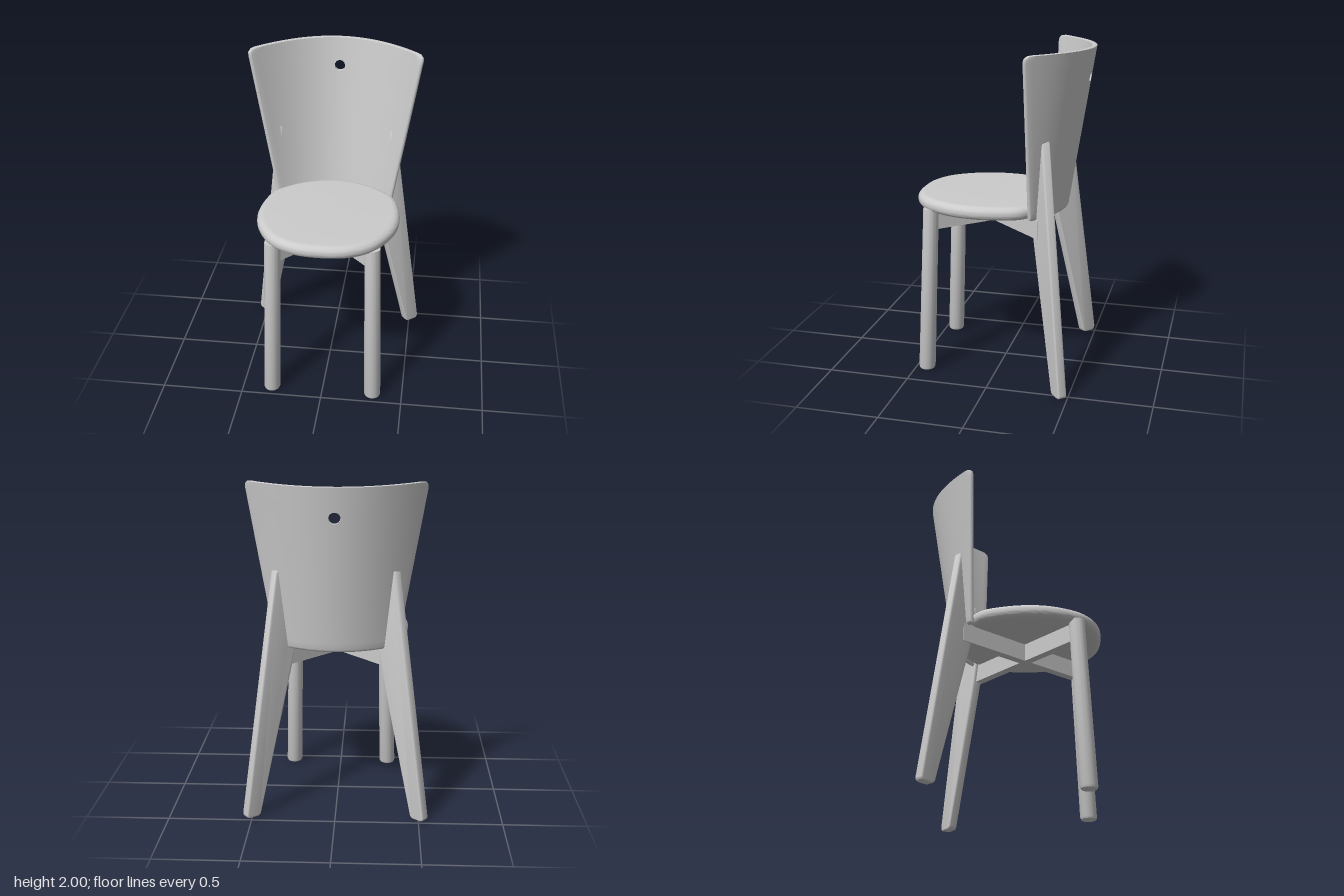
import * as THREE from 'three';
import { toCreasedNormals } from 'three/addons/utils/BufferGeometryUtils.js';

const material = new THREE.MeshStandardMaterial({ color: 0xcccccc });
const lerp = THREE.MathUtils.lerp;

function part(name, geometry, crease = 0.6) {
  const mesh = new THREE.Mesh(toCreasedNormals(geometry, crease), material);
  mesh.name = name;
  return mesh;
}

// Cushioned seat slab: half outline (x, z) mirrored into a closed spline
function seat() {
  const half = [[0, 0.535], [0.16, 0.515], [0.29, 0.44], [0.365, 0.34], [0.415, 0.22], [0.432, 0.09],
    [0.418, -0.05], [0.385, -0.16], [0.335, -0.22], [0.2, -0.315], [0, -0.365]];
  const mirrored = half.slice(1, -1).reverse().map(([x, z]) => [-x, z]);
  const points = [...half, ...mirrored].map(([x, z]) => new THREE.Vector3(x, -z, 0));
  const outline = new THREE.CatmullRomCurve3(points, true).getPoints(120).slice(0, -1);
  const shape = new THREE.Shape(outline.map((p) => new THREE.Vector2(p.x, p.y)));
  const geometry = new THREE.ExtrudeGeometry(shape, {
    depth: 0.01, bevelThickness: 0.036, bevelSize: 0.045, bevelOffset: -0.045, bevelSegments: 7,
  });
  geometry.rotateX(-Math.PI / 2).translate(0, 1.056, 0);
  return part('seat', geometry);
}

// Point on the flared, curved back panel, offset d from its middle surface
function panelPoint(x, y, d) {
  const t = (y - 1.02) / 0.98;
  const w = lerp(0.36, 0.525, t);
  const zBack = lerp(-0.37, -0.525, t);
  const bend = (-0.222 - zBack) / (w * w);
  const normal = new THREE.Vector2(-2 * bend * x, 1).normalize();
  return [x + normal.x * d, y, zBack + bend * x * x + normal.y * d];
}

// Back panel: rings run from the hole to the outline, round the rim and back
function backrest() {
  const shape = new THREE.Shape();
  shape.moveTo(-0.36, 1.02).lineTo(0.36, 1.02).lineTo(0.519, 1.96);
  shape.quadraticCurveTo(0.525, 2, 0.49, 2).lineTo(-0.49, 2);
  shape.quadraticCurveTo(-0.525, 2, -0.519, 1.96).lineTo(-0.36, 1.02);
  const outline = shape.getSpacedPoints(180).slice(0, -1);

  const thick = 0.014, rim = 0.02, rings = 20, steps = 6;
  const section = [];
  for (let i = 0; i < rings; i++) section.push([(i / rings) * (1 - rim), thick]);
  for (let i = 0; i <= steps; i++) {
    const a = (i / steps) * Math.PI;
    section.push([1 - rim + rim * Math.sin(a), thick * Math.cos(a)]);
  }
  for (let i = rings - 1; i >= 0; i--) section.push([(i / rings) * (1 - rim), -thick]);

  const holeY = 1.825, holeR = 0.033;
  const positions = [], index = [];
  const n = outline.length, m = section.length;
  outline.forEach((p, i) => {
    const a = Math.atan2(p.y - holeY, p.x);
    section.forEach(([k, d], j) => {
      const x = lerp(holeR * Math.cos(a), p.x, k);
      const y = lerp(holeY + holeR * Math.sin(a), p.y, k);
      positions.push(...panelPoint(x, y, d));
      const i2 = (i + 1) % n, j2 = (j + 1) % m;
      const A = i * m + j, B = i * m + j2, C = i2 * m + j2, D = i2 * m + j;
      index.push(A, B, C, A, C, D);
    });
  });
  const geometry = new THREE.BufferGeometry();
  geometry.setAttribute('position', new THREE.Float32BufferAttribute(positions, 3));
  geometry.setIndex(index);
  return part('backrest', geometry);
}

// Round front leg with a softened foot, leaning outward and forward
function frontLeg(side) {
  const profile = [[0, 0], [0.037, 0], [0.046, 0.005], [0.051, 0.018], [0.047, 1.04], [0, 1.04]]
    .map(([r, y]) => new THREE.Vector2(r, y));
  const geometry = new THREE.LatheGeometry(profile, 32);
  const pos = geometry.attributes.position;
  for (let i = 0; i < pos.count; i++) {
    const k = pos.getY(i) / 1.04;
    pos.setX(i, pos.getX(i) + side * lerp(0.317, 0.295, k));
    pos.setZ(i, pos.getZ(i) + lerp(0.43, 0.39, k));
  }
  return part('frontLeg', geometry);
}

// Tapered plank back leg: s runs inward along a diagonal from the foot
function backLeg(side) {
  const shape = new THREE.Shape();
  shape.moveTo(0.03, 0).lineTo(0.075, 0).quadraticCurveTo(0.1, 0, 0.105, 0.03);
  shape.lineTo(0.345, 0.91).lineTo(0.365, 1.03).lineTo(0.315, 1.08).lineTo(0.275, 1.48);
  shape.quadraticCurveTo(0.255, 1.515, 0.24, 1.48);
  shape.lineTo(0.003, 0.03).quadraticCurveTo(0, 0, 0.03, 0);
  const geometry = new THREE.ExtrudeGeometry(shape, {
    depth: 0.039, bevelThickness: 0.008, bevelSize: 0.008, bevelOffset: -0.008, bevelSegments: 3,
  });
  geometry.translate(0, 0, -0.0195);
  const angle = THREE.MathUtils.degToRad(40);
  // Turn about y so that +s points toward the centre of the seat
  if (side > 0) geometry.rotateY(Math.PI + angle);
  else geometry.rotateY(-angle);
  geometry.translate(side * 0.543, 0, -0.477);
  return part('backLeg', geometry);
}

// Rail joining a back leg to the opposite front leg
function crossRail(side) {
  const from = new THREE.Vector2(side * 0.33, -0.29);
  const to = new THREE.Vector2(side * -0.295, 0.39);
  const run = to.clone().sub(from);
  const geometry = new THREE.BoxGeometry(run.length(), 0.115, 0.05);
  geometry.rotateY(-Math.atan2(run.y, run.x));
  geometry.translate((from.x + to.x) / 2, 0.9675, (from.y + to.y) / 2);
  return part('crossRail', geometry);
}

export function createModel() {
  const chair = new THREE.Group();
  chair.name = 'chair';
  chair.add(seat(), backrest());
  for (const side of [1, -1]) chair.add(frontLeg(side), backLeg(side), crossRail(side));
  return chair;
}
